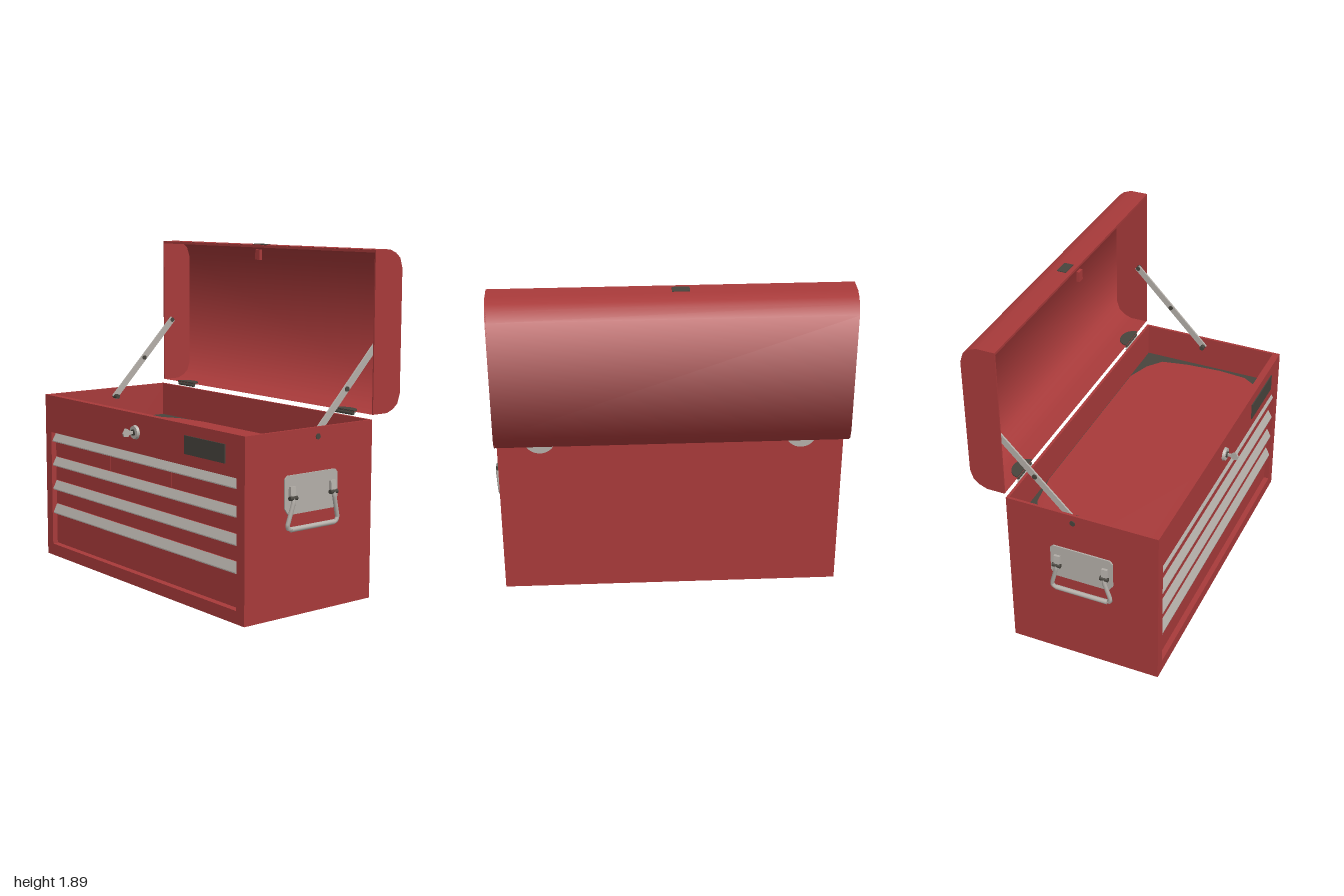
import * as THREE from 'three';

const paint = (name, color, side = THREE.FrontSide) => {
  const m = new THREE.MeshStandardMaterial({ color, side });
  m.name = name;
  return m;
};

export function createModel() {
  const root = new THREE.Group();
  root.name = 'toolChest';
  const red = paint('redPaint', 0xa83a3a, THREE.DoubleSide);
  const steel = paint('lightSteel', 0xb4afa9, THREE.DoubleSide);
  const dark = paint('darkMetal', 0x47443d, THREE.DoubleSide);

  const add = (name, geo, mat, x = 0, y = 0, z = 0) => {
    const m = new THREE.Mesh(geo, mat);
    m.name = name;
    m.position.set(x, y, z);
    root.add(m);
    return m;
  };
  // Box given by its limits on each axis
  const box = (name, mat, x0, x1, y0, y1, z0, z1) =>
    add(name, new THREE.BoxGeometry(x1 - x0, y1 - y0, z1 - z0), mat,
      (x0 + x1) / 2, (y0 + y1) / 2, (z0 + z1) / 2);
  const poly = (pts) => new THREE.Shape(pts.map(([a, b]) => new THREE.Vector2(a, b)));
  const extrude = (shape, depth) =>
    new THREE.ExtrudeGeometry(shape, { depth, bevelEnabled: false, curveSegments: 12 });
  // Plate drawn in (z, y), with its thickness centred along x
  const sidePlate = (pts, t) =>
    extrude(poly(pts.map(([z, y]) => [-z, y])), t).rotateY(Math.PI / 2).translate(-t / 2, 0, 0);
  // Round bar through a list of points
  const bar = (name, mat, pts, r) => {
    const path = new THREE.CurvePath();
    const v = pts.map((p) => new THREE.Vector3(...p));
    for (let i = 1; i < v.length; i++) path.add(new THREE.LineCurve3(v[i - 1], v[i]));
    return add(name, new THREE.TubeGeometry(path, 48, r, 8), mat);
  };

  const W = 0.955, H = 0.985, F = 0.5, B = -0.38;

  // Cabinet shell
  for (const s of [-1, 1]) {
    const a = s * W, b = s * (W - 0.015);
    box('sideWall', red, Math.min(a, b), Math.max(a, b), 0, H, B, F - 0.025);
  }
  box('backWall', red, -W + 0.015, W - 0.015, 0, H, B, B + 0.015);
  box('base', red, -W + 0.015, W - 0.015, 0, 0.015, B + 0.015, F - 0.025);
  const front = poly([[-W, 0], [W, 0], [W, H], [-W, H]]);
  front.holes.push(poly([[-0.895, 0.07], [-0.895, 0.762], [0.89, 0.762], [0.89, 0.07]]));
  add('frontFrame', extrude(front, 0.04), red, 0, 0, F - 0.04);

  // Top tray: dark floor with a worn-edged red liner
  box('trayFloor', dark, -W + 0.015, W - 0.015, 0.77, 0.785, B + 0.015, F - 0.04);
  const liner = poly([
    [-0.5, -0.36], [-0.7, -0.33], [-0.84, -0.25], [-0.87, -0.08], [-0.885, 0.05], [-0.92, 0.15],
    [-0.94, 0.24], [-0.85, 0.36], [-0.74, 0.425], [-0.5, 0.455], [-0.42, 0.459], [-0.2, 0.459],
    [-0.05, 0.44], [0.06, 0.44], [0.17, 0.459], [0.56, 0.459], [0.7, 0.45], [0.83, 0.41],
    [0.9, 0.3], [0.915, 0.13], [0.9, -0.08], [0.87, -0.24], [0.78, -0.31], [0.64, -0.36],
  ].map(([x, z]) => [x, -z]));
  add('trayLiner', new THREE.ShapeGeometry(liner).rotateX(-Math.PI / 2), red, 0, 0.79, 0);

  // Drawers with slanted pull trims
  box('drawerBacking', red, -0.9, 0.895, 0.065, 0.765, 0.445, 0.461);
  const drawer = (x0, x1, y0, y1, t0, t1) => {
    box('drawerFront', red, x0, x1, y0 + 0.003, y1 - 0.003, 0.461, 0.472);
    const wedge = extrude(poly([[-0.472, t1], [-0.497, t0 + 0.006], [-0.497, t0], [-0.472, t0]]), x1 - x0)
      .rotateY(Math.PI / 2);
    add('drawerPull', wedge, steel, x0, 0, 0);
  };
  for (const x of [-0.888, -0.297, 0.294]) drawer(x, x + 0.587, 0.61, 0.76, 0.705, 0.755);
  drawer(-0.888, 0.881, 0.465, 0.61, 0.557, 0.609);
  drawer(-0.888, 0.881, 0.32, 0.465, 0.41, 0.464);
  drawer(-0.888, 0.881, 0.075, 0.32, 0.263, 0.319);

  // Lock with key
  add('lockBarrel', new THREE.CylinderGeometry(0.036, 0.04, 0.016, 24).rotateX(Math.PI / 2), steel, 0, 0.88, F + 0.008);
  add('keyhole', new THREE.CylinderGeometry(0.018, 0.018, 0.008, 16).rotateX(Math.PI / 2), dark, 0, 0.88, F + 0.018);
  add('key', sidePlate([[0.515, 0.872], [0.54, 0.872], [0.555, 0.858], [0.58, 0.862], [0.587, 0.88],
    [0.57, 0.908], [0.555, 0.902], [0.54, 0.888], [0.515, 0.888]], 0.01), steel);

  // Front badge plate
  box('badgePlate', dark, 0.455, 0.8, 0.825, 0.925, F, F + 0.006);

  // Lid shell: z, y and the tilt of the normal at each point of its curved section
  const half = [[-0.385, 1.89, 90], [-0.49, 1.89, 85], [-0.535, 1.872, 70], [-0.567, 1.845, 57], [-0.585, 1.79, 45]];
  const section = [...half, ...half.map(([z, y, a]) => [z, 2.9 - y, -a]).reverse()];
  const pos = [], nor = [], idx = [];
  section.forEach(([z, y, deg], i) => {
    const a = THREE.MathUtils.degToRad(deg);
    for (const s of [-1, 1]) {
      pos.push(s * W, y, z);
      nor.push(0, Math.sin(a), -Math.cos(a));
    }
    if (i) {
      const k = 2 * (i - 1);
      idx.push(k, k + 1, k + 3, k, k + 3, k + 2);
    }
  });
  const shell = new THREE.BufferGeometry();
  shell.setAttribute('position', new THREE.Float32BufferAttribute(pos, 3));
  shell.setAttribute('normal', new THREE.Float32BufferAttribute(nor, 3));
  shell.setIndex(idx);
  add('lidShell', shell, red);
  for (const s of [-1, 1]) add('lidEnd', sidePlate(section, 0.008), red, s * (W - 0.004), 0, 0);
  box('lidLip', red, -W + 0.008, W - 0.008, 1.875, 1.889, -0.392, -0.385);
  box('lidCatch', red, -0.02, 0.02, 1.805, 1.865, -0.385, -0.367);
  box('lidTopPlate', dark, -0.093, 0, 1.889, 1.894, -0.465, -0.412);

  // Hinges: a half-disc leaf on the back wall and one under the lid
  const leaf = new THREE.Shape();
  leaf.absarc(0, 0, 0.085, Math.PI, 2 * Math.PI, false);
  for (const x of [-0.72, 0.72]) {
    add('hingeBackLeaf', extrude(leaf, 0.008), steel, x, 0.985, B - 0.009);
    const lower = extrude(leaf, 0.012).rotateX(Math.PI / 2).scale(1, 1, 0.8);
    add('hingeLidLeaf', lower, dark, x, 1.016, -0.387);
    add('hingePin', new THREE.CylinderGeometry(0.01, 0.01, 0.15, 12).rotateZ(Math.PI / 2), dark, x, 0.998, -0.392);
  }

  for (const s of [-1, 1]) {
    // Folding lid stay
    const lowerEnd = new THREE.Vector3(s * 0.922, 0.935, 0.01);
    const upperEnd = new THREE.Vector3(s * 0.936, 1.39, -0.43);
    const dir = upperEnd.clone().sub(lowerEnd);
    const mid = lowerEnd.clone().add(upperEnd).multiplyScalar(0.5);
    const stay = add('lidStay', new THREE.BoxGeometry(0.01, dir.length() + 0.02, 0.038), steel, mid.x, mid.y, mid.z);
    stay.rotation.x = Math.atan2(dir.z, dir.y);
    for (const [p, w] of [[lowerEnd, 0.05], [mid, 0.022], [upperEnd, 0.03]])
      add('stayRivet', new THREE.CylinderGeometry(0.014, 0.014, w, 12).rotateZ(Math.PI / 2), dark, p.x, p.y, p.z);
    add('pivotCap', new THREE.CylinderGeometry(0.016, 0.016, 0.008, 12).rotateZ(Math.PI / 2), dark, s * W, 0.935, 0.01);

    // Side carrying handle
    add('handlePlate', sidePlate([[0.215, 0.545], [0.24, 0.58], [0.24, 0.735], [0.222, 0.752], [-0.107, 0.752],
      [-0.125, 0.735], [-0.125, 0.58], [-0.1, 0.545]], 0.008), steel, s * (W + 0.004), 0, 0);
    for (const z of [0.198, -0.082]) {
      const b = add('handleBracket', new THREE.BoxGeometry(0.026, 0.065, 0.034), steel, s * 0.969, 0.662, z);
      b.rotation.z = s * 0.1;
      add('bracketPin', new THREE.CylinderGeometry(0.012, 0.012, 0.05, 10).rotateX(Math.PI / 2), dark, s * 0.98, 0.635, z);
    }
    bar('handleLoop', steel, [[0.98, 0.635, 0.198], [0.984, 0.61, 0.2], [0.974, 0.49, 0.232], [0.972, 0.472, 0.222],
      [0.972, 0.468, -0.105], [0.974, 0.49, -0.118], [0.984, 0.61, -0.085], [0.98, 0.635, -0.082]]
      .map(([x, y, z]) => [s * x, y, z]), 0.012);
    add('handleGrip', new THREE.CylinderGeometry(0.014, 0.014, 0.3, 12).rotateX(Math.PI / 2), steel, s * 0.973, 0.469, 0.058);
  }
  return root;
}
